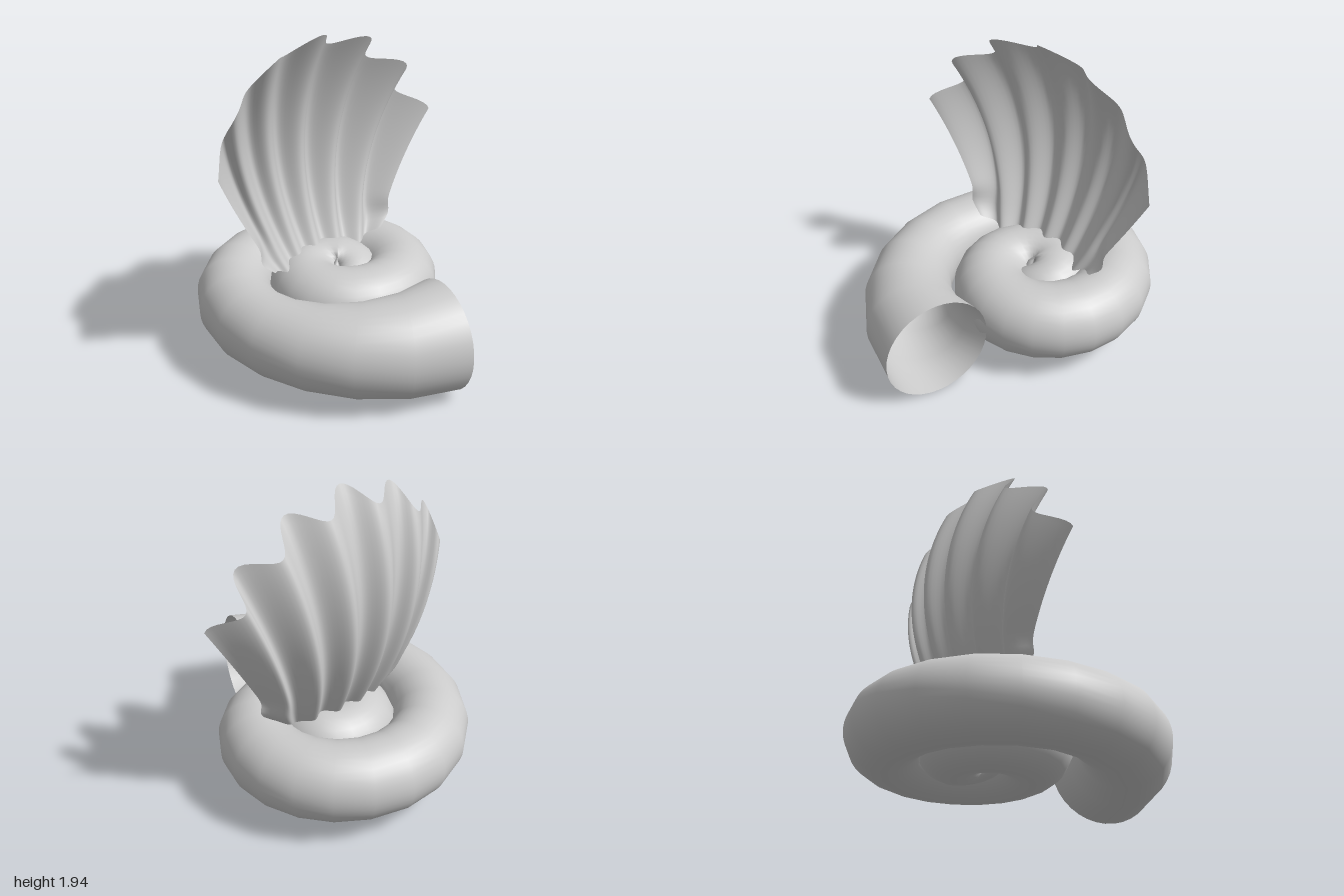
import * as THREE from 'three';
import { mergeVertices } from 'three/addons/utils/BufferGeometryUtils.js';

const material = new THREE.MeshStandardMaterial({ color: 0xcccccc, side: THREE.DoubleSide });

// Smooth surface from a rule: point(s, t) with s, t in 0..1
function surface(name, nS, nT, point) {
  const geo = new THREE.PlaneGeometry(1, 1, nS, nT);
  geo.deleteAttribute('uv');
  geo.deleteAttribute('normal');
  const pos = geo.attributes.position;
  for (let j = 0; j <= nT; j++) {
    for (let i = 0; i <= nS; i++) {
      pos.setXYZ(j * (nS + 1) + i, ...point(i / nS, j / nT));
    }
  }
  const merged = mergeVertices(geo, 1e-5);
  merged.computeVertexNormals();
  const mesh = new THREE.Mesh(merged, material);
  mesh.name = name;
  return mesh;
}

// Coiled tube: u counts quarter turns, 8 is the open mouth
function coilPoint(s, t) {
  const u = -1 + 9 * t;
  const theta = (u - 4) * Math.PI / 2;
  const alpha = (s * 2 - 1) * Math.PI;
  const path = 0.0531 * u + 0.00703 * u * u + 0.07 * Math.max(0, 1 - u / 4);
  // Narrow start, even body, flared mouth
  const flare = u > 7 ? 1 - Math.cos((u - 7) * Math.PI / 2) : 0;
  const radius = 0.234 * Math.min(1, Math.sqrt((u + 1.05) / 2.5)) + 0.099 * flare;
  const tilt = theta - 0.29 * Math.max(0, u) / 8;
  const across = radius * Math.cos(alpha);
  return [
    -0.195 + path * Math.cos(theta) + across * Math.cos(tilt),
    0.334 + radius * Math.sin(alpha),
    -0.07 - path * Math.sin(theta) - across * Math.sin(tilt),
  ];
}

// Ribbed fan: w runs across (-1..1), v runs from hinge to scalloped rim
function fanPoint(s, v) {
  const w = s * 2 - 1;
  const wave = Math.cos(w * 6 * Math.PI);
  const phi = 1.28 * w;
  const reach = 0.845 + 0.048 * wave;
  const rimZ = reach * Math.sin(phi);
  const rimY = 1.05 + reach * Math.cos(phi);
  const baseZ = 0.44 * w;
  const baseY = 0.45 + 0.13 * w * w;
  // Small ear at both lower corners
  const ear = 0.05 * Math.pow(w, 5) * Math.exp(-Math.pow((v - 0.1) / 0.09, 2));
  const hinge = -0.3 + 0.06 * w * w;
  const rimX = -0.33 + 0.07 * w * w;
  const bulge = 0.8 * v * (1 - v) * (1 - 0.8 * w * w);
  return [
    THREE.MathUtils.lerp(hinge, rimX, v) - bulge + (0.02 + 0.05 * v) * wave,
    THREE.MathUtils.lerp(baseY, rimY, v),
    -0.02 + THREE.MathUtils.lerp(baseZ, rimZ, v) + ear,
  ];
}

export function createModel() {
  const group = new THREE.Group();
  group.name = 'seashells';
  group.add(surface('spiralShell', 36, 46, coilPoint));
  group.add(surface('fanShell', 96, 28, fanPoint));
  return group;
}
